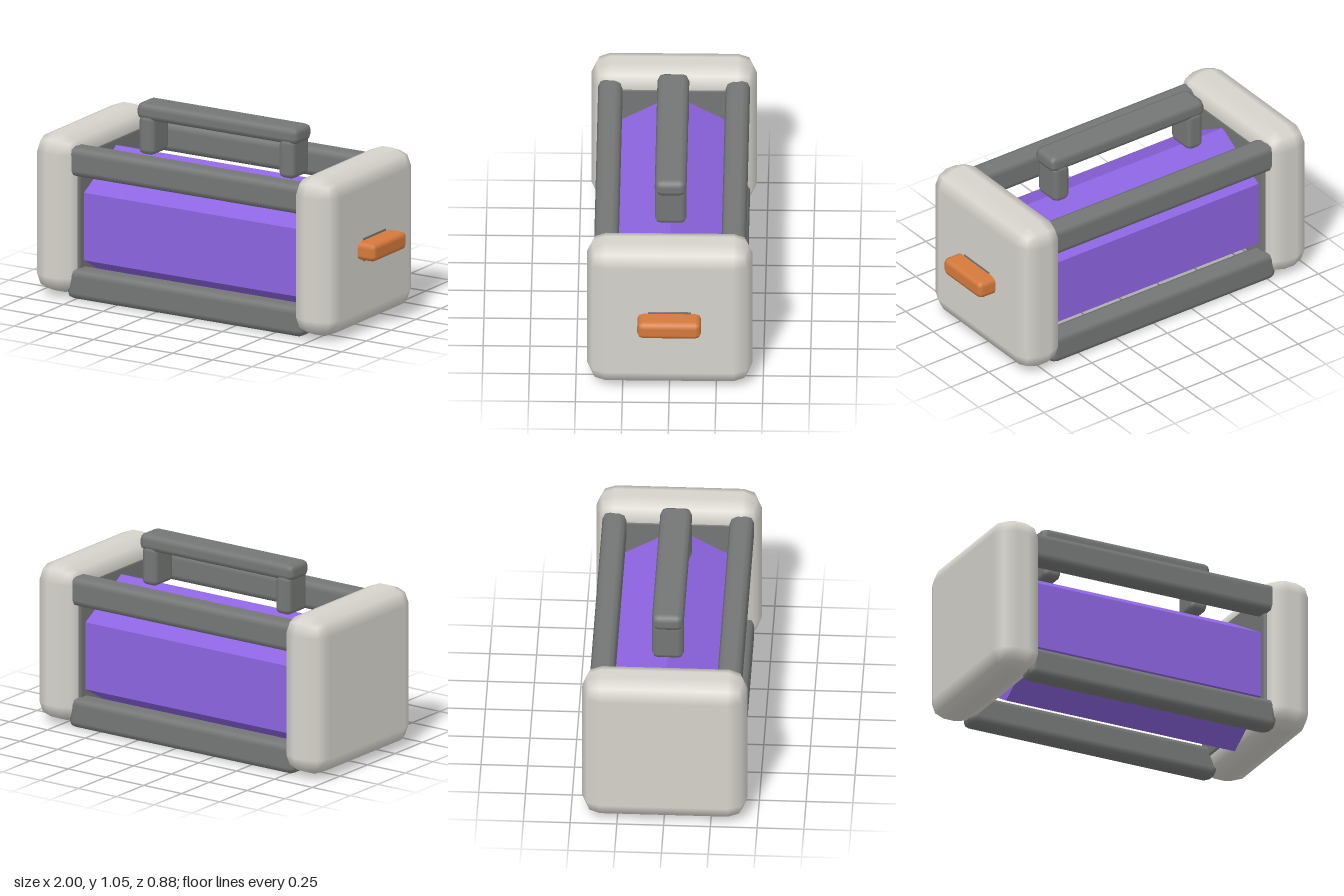
import * as THREE from 'three';
import { RoundedBoxGeometry } from 'three/addons/geometries/RoundedBoxGeometry.js';

const material = (name, color) => {
  const m = new THREE.MeshStandardMaterial({ color });
  m.name = name;
  return m;
};

export function createModel() {
  const group = new THREE.Group();
  const shell = material('pale grey', 0xd6d3cc);
  const frame = material('dark grey', 0x747775);
  const core = material('purple', 0x8c64e0);
  const knob = material('orange', 0xd67a3c);

  // Bevelled box given by its extents on each axis
  const block = (name, mat, [x0, x1], [y0, y1], [z0, z1], radius) => {
    const geo = new RoundedBoxGeometry(x1 - x0, y1 - y0, z1 - z0, 1, radius);
    const mesh = new THREE.Mesh(geo, mat);
    mesh.name = name;
    mesh.position.set((x0 + x1) / 2, (y0 + y1) / 2, (z0 + z1) / 2);
    group.add(mesh);
  };

  // Thick end caps with darker plates almost flush with their inner faces
  block('rightEndCap', shell, [-1, -0.735], [0.018, 0.9], [-0.442, 0.442], 0.1);
  block('leftEndCap', shell, [0.63, 0.895], [0.018, 0.9], [-0.442, 0.442], 0.1);
  block('rightInnerPlate', frame, [-0.83, -0.731], [0.1, 0.81], [-0.37, 0.37], 0.02);
  block('leftInnerPlate', frame, [0.626, 0.725], [0.1, 0.81], [-0.37, 0.37], 0.02);

  // Four long rails joining the caps
  for (const side of [-1, 1]) {
    const z = side > 0 ? [0.275, 0.405] : [-0.405, -0.275];
    block('upperRail', frame, [-0.8, 0.69], [0.68, 0.845], z, 0.04);
    block('lowerRail', frame, [-0.8, 0.69], [0, 0.17], z, 0.04);
  }

  // Six-sided core with an edge facing up and upright front and back faces
  const hex = new THREE.CylinderGeometry(0.375, 0.375, 1.38, 6).toNonIndexed();
  hex.rotateZ(Math.PI / 2);
  hex.rotateX(Math.PI / 6);
  hex.computeVertexNormals();
  const drum = new THREE.Mesh(hex, core);
  drum.name = 'hexagonalCore';
  drum.position.set(-0.05, 0.393, 0);
  group.add(drum);

  // Carrying handle
  block('handleBar', frame, [-0.56, 0.455], [0.955, 1.05], [-0.085, 0.085], 0.035);
  for (const x of [-0.495, 0.387]) {
    block('handlePost', frame, [x - 0.05, x + 0.05], [0.765, 0.985], [-0.085, 0.085], 0.03);
  }

  // Knob on the left end with its thin backing plate
  block('knobPlate', frame, [0.889, 0.897], [0.392, 0.522], [-0.115, 0.115], 0.002);
  block('sideKnob', knob, [0.84, 1], [0.41, 0.51], [-0.17, 0.17], 0.03);

  return group;
}
